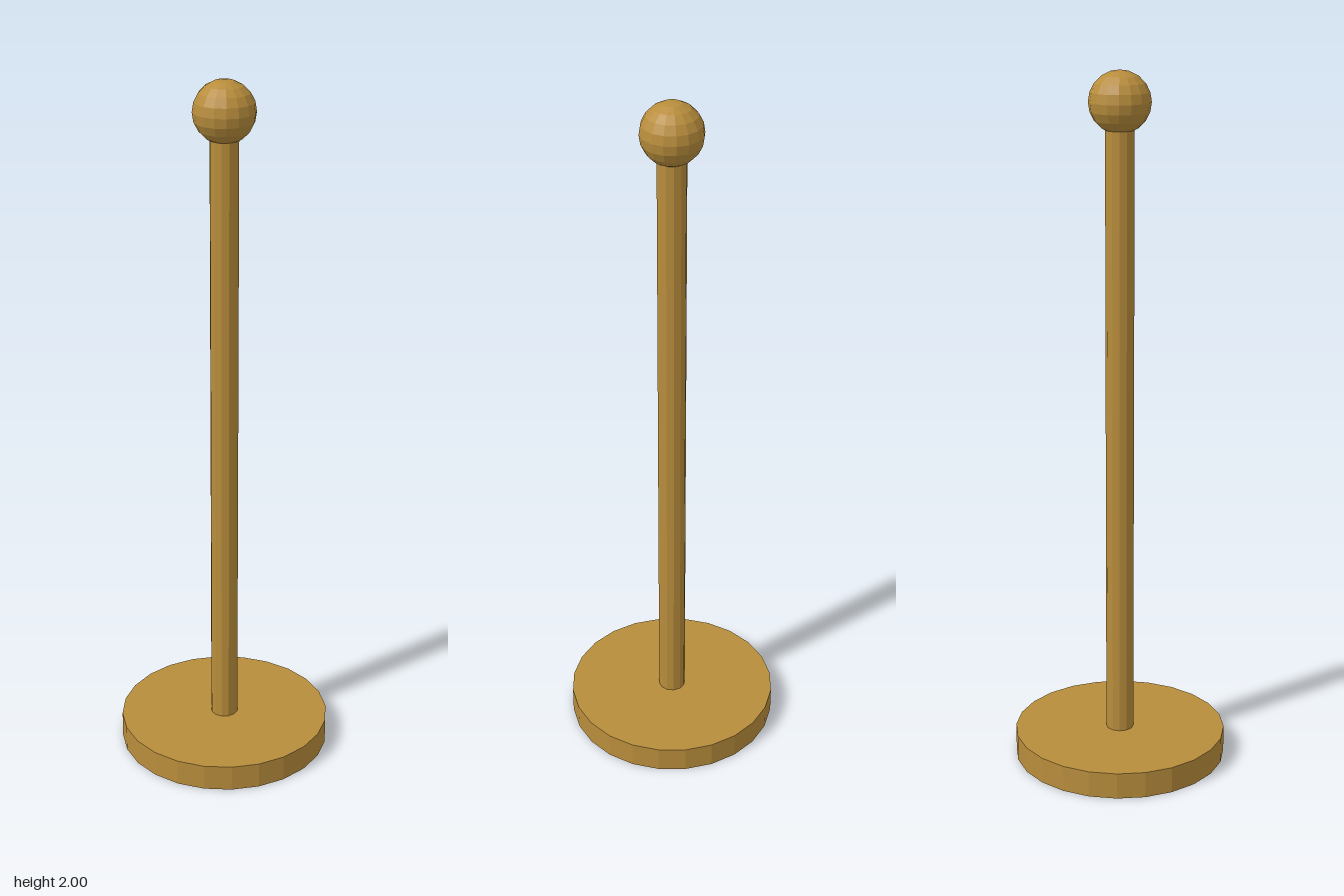
import * as THREE from 'three';

export function createModel() {
  const group = new THREE.Group();
  group.name = 'stand';

  const brass = new THREE.MeshStandardMaterial({ color: 0xb88d3c, flatShading: true });
  brass.name = 'brass';

  const add = (name, geometry, y) => {
    const mesh = new THREE.Mesh(geometry, brass);
    mesh.name = name;
    mesh.position.y = y;
    group.add(mesh);
  };

  const baseHeight = 0.077;
  const knobRadius = 0.086;
  const knobY = 2 - knobRadius;

  // Round foot
  add('base', new THREE.CylinderGeometry(0.309, 0.309, baseHeight, 24), baseHeight / 2);

  // Slim pole, ending inside the knob
  const poleHeight = knobY - 0.03 - baseHeight;
  add('pole', new THREE.CylinderGeometry(0.04, 0.04, poleHeight, 12), baseHeight + poleHeight / 2);

  // Ball on top
  add('knob', new THREE.SphereGeometry(knobRadius, 16, 10), knobY);

  return group;
}
